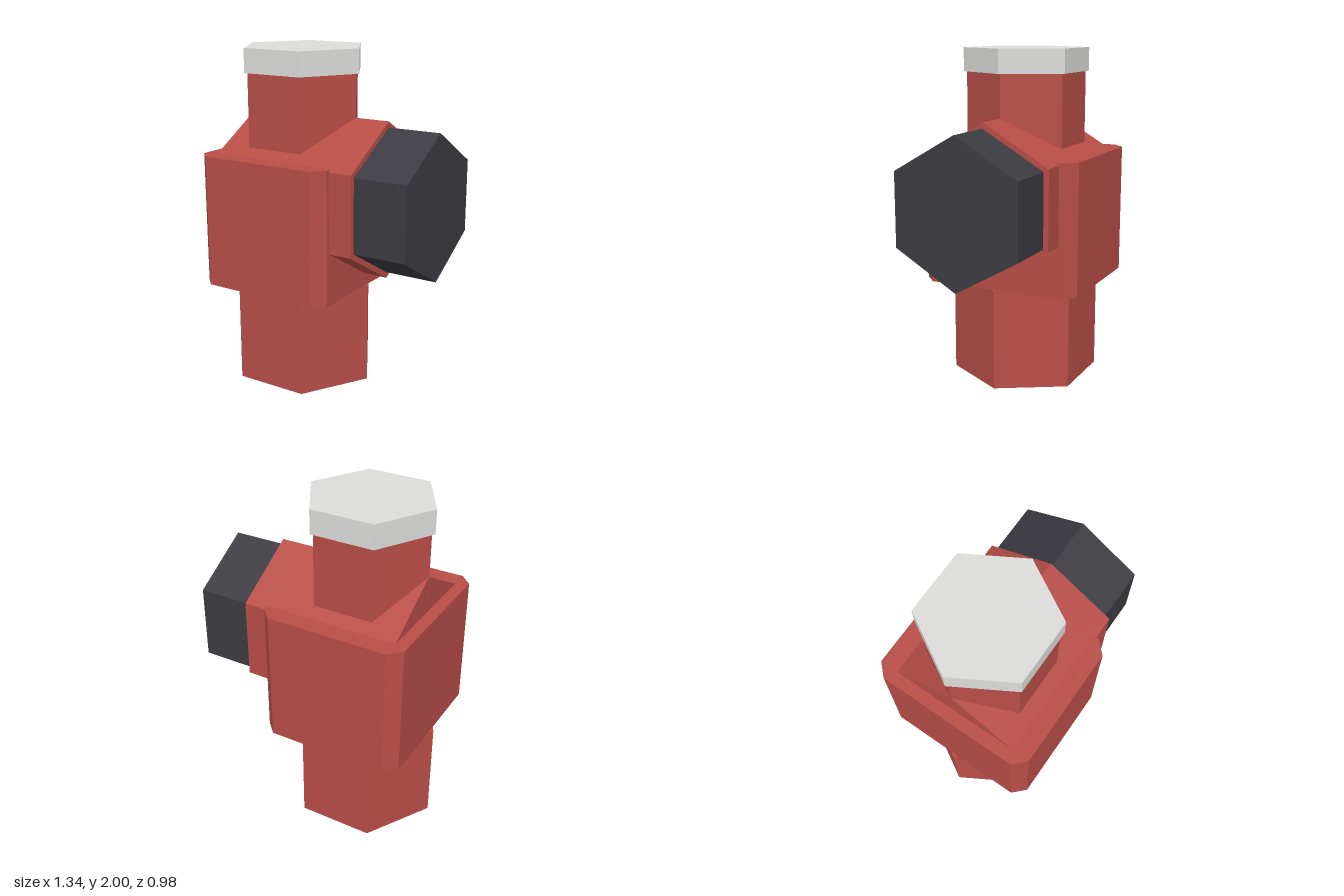
import * as THREE from 'three';

export function createModel() {
  const model = new THREE.Group();
  const material = (name, color) => {
    const m = new THREE.MeshStandardMaterial({ color });
    m.name = name;
    return m;
  };
  const red = material('hydrantRed', 0xb84d47);
  const grey = material('lightGrey', 0xdcdcda);
  const black = material('charcoal', 0x3b3b41);

  const add = (name, geometry, mat) => {
    const flat = geometry.index ? geometry.toNonIndexed() : geometry;
    flat.computeVertexNormals(); // crisp facets
    const mesh = new THREE.Mesh(flat, mat);
    mesh.name = name;
    model.add(mesh);
  };

  // Hexagonal prism with corners towards +x and -x
  const hex = (radius, length) =>
    new THREE.CylinderGeometry(radius, radius, length, 6).rotateY(Math.PI / 2);

  const axisX = -0.225;
  const upright = (name, radius, y0, y1, mat) =>
    add(name, hex(radius, y1 - y0).translate(axisX, (y0 + y1) / 2, 0), mat);

  const axisY = 1.146;
  const sideways = (name, radius, x0, x1, mat) =>
    add(name, hex(radius, x1 - x0).rotateZ(Math.PI / 2).translate((x0 + x1) / 2, axisY, 0), mat);

  // Vertical stack
  upright('basePost', 0.445, 0, 0.61, red);
  upright('neck', 0.356, 1.3, 1.86, red);
  upright('topCap', 0.375, 1.86, 2, grey);

  // Central block with bevelled vertical corners
  const w = 0.428, d = 0.49, c = 0.07;
  const outline = new THREE.Shape([
    [w, -d + c], [w, d - c], [w - c, d], [-w + c, d],
    [-w, d - c], [-w, -d + c], [-w + c, -d], [w - c, -d],
  ].map(([x, y]) => new THREE.Vector2(x, y)));
  add('body', new THREE.ExtrudeGeometry(outline, { depth: 0.78, bevelEnabled: false })
    .rotateX(-Math.PI / 2).translate(axisX + 0.002, 0.61, 0), red);

  // Side outlet: its ridge runs across the top of the body
  sideways('outletCollar', 0.463, -0.58, 0.345, red);
  sideways('outletNozzle', 0.428, 0.345, 0.666, black);

  return model;
}
